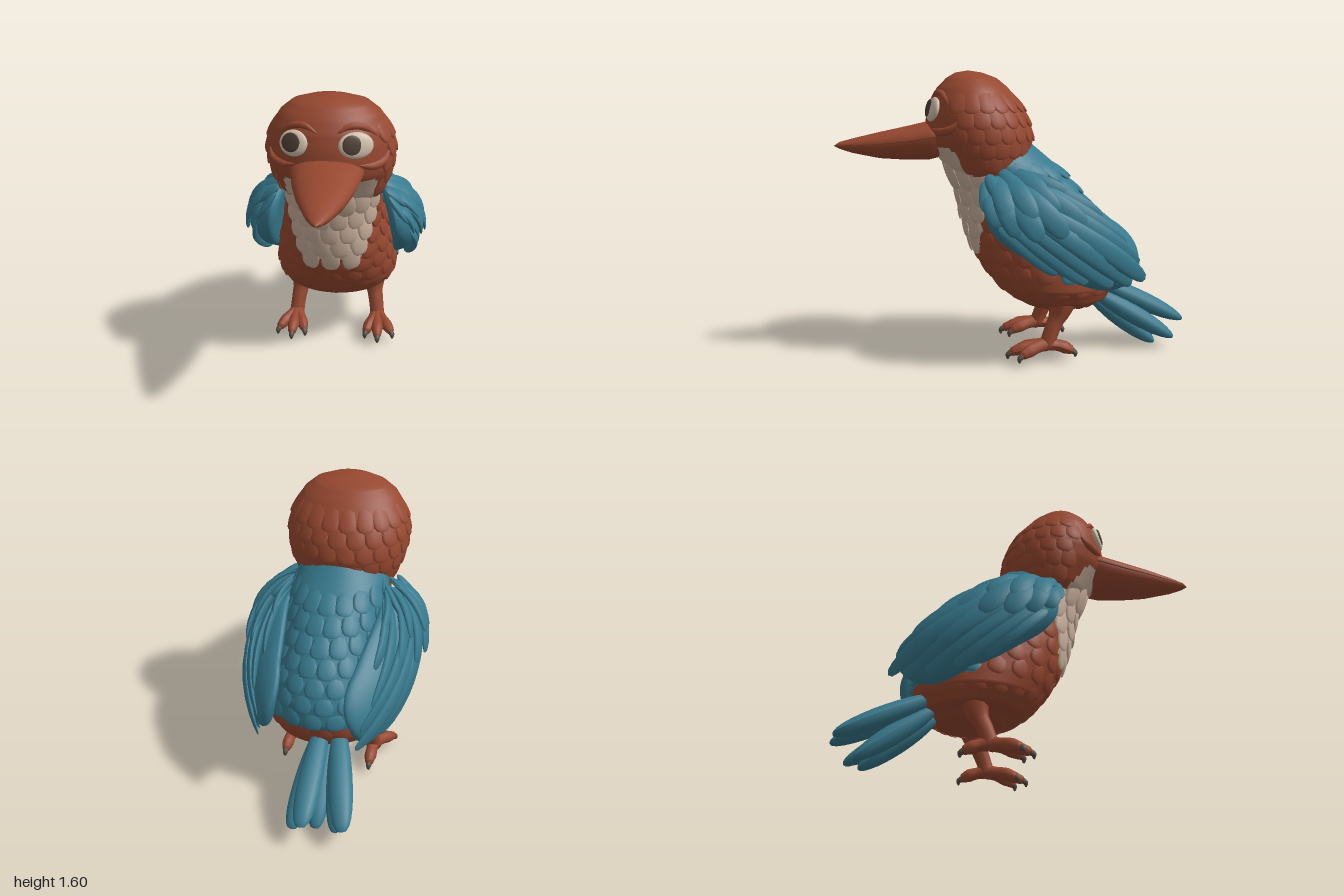
import * as THREE from 'three';
import { mergeGeometries } from 'three/addons/utils/BufferGeometryUtils.js';

const V = (x, y, z) => new THREE.Vector3(x, y, z);
const paint = (name, color) => {
  const m = new THREE.MeshStandardMaterial({ color });
  m.name = name;
  return m;
};

// Horizontal sections: [y, back z, front z, half width]
const BODY = [
  [0.27, -0.281, -0.28, 0.001], [0.285, -0.44, -0.1, 0.16], [0.34, -0.53, 0.02, 0.3], [0.42, -0.57, 0.11, 0.35],
  [0.5, -0.59, 0.17, 0.35], [0.6, -0.58, 0.23, 0.34], [0.7, -0.54, 0.27, 0.32], [0.8, -0.48, 0.3, 0.29],
  [0.9, -0.4, 0.315, 0.275], [1.0, -0.32, 0.34, 0.265], [1.05, -0.27, 0.365, 0.265], [1.1, -0.22, 0.4, 0.26],
  [1.16, -0.15, 0.45, 0.24], [1.22, -0.08, 0.48, 0.19], [1.25, 0, 0.3, 0.02]];
const HEAD = [
  [1.0, 0.1, 0.25, 0.02], [1.03, 0, 0.32, 0.24], [1.08, -0.03, 0.375, 0.28], [1.15, -0.08, 0.43, 0.305],
  [1.22, -0.1, 0.485, 0.325], [1.3, -0.09, 0.5, 0.338], [1.38, -0.06, 0.49, 0.328], [1.45, -0.02, 0.47, 0.305],
  [1.52, 0.04, 0.43, 0.26], [1.57, 0.1, 0.38, 0.2], [1.6, 0.18, 0.33, 0.11], [1.612, 0.259, 0.26, 0.001]];
// Beak sections: [z, seam y, half width, height above seam, depth below seam]
const BEAK = [
  [0.34, 1.27, 0.01, 0.01, 0.01], [0.36, 1.27, 0.2, 0.08, 0.12], [0.48, 1.25, 0.183, 0.085, 0.13],
  [0.6, 1.23, 0.16, 0.077, 0.11], [0.75, 1.215, 0.12, 0.06, 0.085], [0.9, 1.205, 0.065, 0.035, 0.045],
  [0.97, 1.203, 0.032, 0.018, 0.02], [1.0, 1.2, 0.001, 0.001, 0.001]];

// Interpolates a table by its first column
function sample(table, key) {
  let i = 0;
  while (i < table.length - 2 && key > table[i + 1][0]) i++;
  const [a, b] = [table[i], table[i + 1]];
  const f = THREE.MathUtils.clamp((key - a[0]) / (b[0] - a[0]), 0, 1);
  return a.map((v, k) => v + (b[k] - v) * f);
}
function surf(table, y, ang) {
  const [yy, zb, zf, w] = sample(table, y);
  return V(w * Math.sin(ang), yy, (zb + zf) / 2 + (zf - zb) / 2 * Math.cos(ang));
}
function normalAt(table, y, ang) {
  const du = surf(table, y, ang + 0.02).sub(surf(table, y, ang - 0.02));
  const dv = surf(table, y + 0.02, ang).sub(surf(table, y - 0.02, ang));
  return du.cross(dv).normalize();
}

// Skin over rings; pick() chooses the material index of each quad
function loft(rings, pick = () => 0) {
  const n = rings[0].length, parts = [];
  rings.slice(0, -1).forEach((ring, i) => ring.forEach((p, j) => {
    const a = i * n + j, b = i * n + (j + 1) % n;
    (parts[pick(p)] ??= []).push(a, b, a + n, b, b + n, a + n);
  }));
  const g = new THREE.BufferGeometry().setFromPoints(rings.flat());
  g.setIndex(parts.flat());
  let start = 0;
  parts.forEach((list, m) => { g.addGroup(start, list.length, m); start += list.length; });
  g.computeVertexNormals();
  return g;
}
const angles = n => Array.from({ length: n }, (_, j) => j / n * Math.PI * 2);
function bodyLoft(table, pick) {
  const lo = table[0][0], hi = table.at(-1)[0], keys = table.map(r => r[0]);
  for (let y = lo; y < hi; y += 0.02) if (keys.every(k => Math.abs(k - y) > 0.006)) keys.push(y);
  return loft(keys.sort((a, b) => a - b).map(y => angles(80).map(a => surf(table, y, a))), pick);
}

// One blade from a to b, facing n; w and t are half width and half thickness, bow arches it
function feather(a, b, n, w, t = 0.014, seg = 8, bow = 0) {
  const g = new THREE.SphereGeometry(1, seg, seg), p = g.attributes.position;
  const Y = b.clone().sub(a), half = Y.length() / 2;
  for (let i = 0; i < p.count; i++) {
    const y = p.getY(i), k = Math.pow(Math.max(1 - y * y, 0.02), -0.15);
    p.setXYZ(i, p.getX(i) * k * (0.93 + 0.12 * y) * w, y * half, p.getZ(i) * t + bow * (1 - y * y));
  }
  Y.normalize();
  const X = Y.clone().cross(n).normalize(), Z = X.clone().cross(Y);
  g.computeVertexNormals();
  return g.applyMatrix4(new THREE.Matrix4().makeBasis(X, Y, Z).setPosition(a.clone().add(b).multiplyScalar(0.5)));
}

// Tapered tube with closed ends
function limb(points, radii) {
  const curve = new THREE.CatmullRomCurve3(points), seg = 14, rad = 10;
  const g = new THREE.TubeGeometry(curve, seg, 1, rad), p = g.attributes.position;
  for (let i = 0; i < p.count; i++) {
    const u = Math.floor(i / (rad + 1)) / seg, f = u * (radii.length - 1), k = Math.min(Math.floor(f), radii.length - 2);
    const c = curve.getPointAt(u), r = radii[k] + (radii[k + 1] - radii[k]) * (f - k);
    const d = V().fromBufferAttribute(p, i).sub(c).multiplyScalar(u === 0 || u === 1 ? r * 0.02 : r).add(c);
    p.setXYZ(i, d.x, d.y, d.z);
  }
  g.computeVertexNormals();
  return g;
}

// Wing shape: t runs shoulder to tip, s runs across (up is positive)
const WING_X = [[0, 0.33], [0.1, 0.365], [0.3, 0.39], [0.65, 0.34], [0.87, 0.275], [1, 0.24]];
const WING_T = 0.085;
const wingX = (t, s) => sample(WING_X, t)[1] - 0.27 * s - 1.7 * s * s;
function wingPoint(side, z, y, out) {
  const dz = z - 0.17, dy = y - 0.95, s = dz * -0.475 + dy * 0.88;
  const t = (dz * -0.88 + dy * -0.475) / 0.989;
  const dome = WING_T * Math.sqrt(Math.max(0, 1 - ((t - 0.47) / 0.47) ** 4 - (s / 0.2) ** 2));
  return V(side * (wingX(t, s) + dome + out), y, z);
}
function wingFeather(side, [z0, y0, z1, y1, w, lift]) {
  const a = wingPoint(side, z0, y0, 0), b = wingPoint(side, z1, y1, lift);
  const mid = wingPoint(side, (z0 + z1) / 2, (y0 + y1) / 2, lift * 0.6);
  const bow = Math.max(0, side * (mid.x - (a.x + b.x) / 2));
  return feather(a, b, V(side, 0.25, 0), w, 0.02, 12, bow);
}

export function createModel() {
  const rust = paint('rust', 0x964830), teal = paint('teal', 0x387a8e), cream = paint('cream', 0xc8af9b);
  const dark = paint('dark brown', 0x4c3d32), eyeWhite = paint('eye white', 0xd0bfab), horn = paint('claw grey', 0x5a4a42);
  const skins = [rust, teal, cream];
  const model = new THREE.Group();
  const add = (name, geo, mat, parent = model) => {
    const m = new THREE.Mesh(geo, mat);
    m.name = name;
    parent.add(m);
    return m;
  };

  // Body and head, with coloured back and bib
  const bodyColour = p => {
    const [, zb, zf] = sample(BODY, p.y), c = (p.z - (zb + zf) / 2) / (zf - zb) * 2;
    if (c > 0.15 && p.y > 0.66 && Math.abs(p.x) < 0.17 + 0.16 * (p.y - 0.62)) return 2;
    return c < (p.y > 0.95 ? 0.15 : -0.12) && p.y > 0.47 ? 1 : 0;
  };
  const headColour = p => p.z > 0.25 && p.y < 1.19 && Math.abs(p.x) < 0.235 ? 2 : 0;
  add('body', bodyLoft(BODY, bodyColour), skins);
  add('head', bodyLoft(HEAD, headColour), skins);

  // Overlapping plumage rows
  const plumage = [[], [], []];
  const scale = (table, y, ang, len, w, lift, colour) => {
    const n = normalAt(table, y - len / 2, ang);
    const a = surf(table, y, ang).addScaledVector(n, -0.012), b = surf(table, y - len, ang).addScaledVector(n, lift);
    plumage[colour].push(feather(a, b, n, w));
  };
  for (let r = 0; r < 9; r++) for (let k = 0; k < 18; k++) {
    const y = 0.4 + r * 0.09, ang = (k + (r % 2) / 2) / 18 * Math.PI * 2;
    const colour = bodyColour(surf(BODY, y - 0.04, ang));
    scale(BODY, y, ang, colour === 2 ? 0.155 : 0.11, 0.056, colour ? 0.012 : 0.004, colour);
  }
  for (let r = 0; r < 5; r++) for (let k = 0; k < 13; k++) {
    const y = 1.2 + r * 0.08, ang = 1.15 + (k + (r % 2) / 2) / 13 * (Math.PI * 2 - 2.3);
    scale(HEAD, y, ang, 0.14, 0.055, 0.009, 0);
  }
  ['rustPlumage', 'backPlumage', 'bibPlumage'].forEach((n, i) => add(n, mergeGeometries(plumage[i]), skins[i]));

  // Beak halves meeting at a seam
  const beakHalf = (wide, up, down) => loft(BEAK.map(r => angles(32).map(a => V(-Math.sin(a) * r[2] * wide,
    r[1] + Math.cos(a) * (Math.cos(a) > 0 ? r[3] * up : r[4] * down), r[0]))));
  add('upperBeak', beakHalf(1, 1, 0.12), rust);
  add('lowerBeak', beakHalf(0.95, 0.2, 1), rust);

  for (const side of [1, -1]) {
    const tag = side > 0 ? 'left' : 'right';

    // Eye, brow and cheek fold; the gaze drifts slightly to one side
    const eye = new THREE.Group(), eyeAng = side > 0 ? 0.47 : -0.55;
    eye.name = tag + 'Eye';
    eye.position.copy(surf(HEAD, 1.403, eyeAng));
    eye.lookAt(normalAt(HEAD, 1.403, eyeAng).lerp(V(0, 0.2, 1), 0.3).add(eye.position));
    model.add(eye);
    const ball = new THREE.SphereGeometry(1, 24, 16);
    add('eyeball', ball.clone().scale(side > 0 ? 0.09 : 0.078, 0.067, 0.024), eyeWhite, eye);
    add('iris', ball.clone().scale(0.049, 0.049, 0.008).translate(side > 0 ? -0.024 : -0.008, 0.003, 0.02), dark, eye);
    const ridge = (pts, r) => limb(pts.map(([a, y]) => surf(HEAD, y, side * a)), [0.004, r, r, 0.004]);
    add(tag + 'Brow', ridge([[0.16, 1.46], [0.4, 1.49], [0.65, 1.485], [0.95, 1.43]], 0.018), rust);
    add(tag + 'CheekFold', ridge([[0.5, 1.3], [0.75, 1.285], [1.0, 1.3], [1.2, 1.35]], 0.022), rust);

    // Wing core
    const core = new THREE.SphereGeometry(1, 28, 20), p = core.attributes.position;
    for (let i = 0; i < p.count; i++) {
      const blunt = Math.sign(p.getX(i)) * Math.sqrt(Math.abs(p.getX(i)));
      const t = 0.47 + 0.47 * blunt, s = 0.2 * p.getY(i), d = t * 0.989;
      p.setXYZ(i, side * wingX(t, s) + WING_T * p.getZ(i), 0.95 - 0.475 * d + 0.88 * s, 0.17 - 0.88 * d - 0.475 * s);
    }
    core.computeVertexNormals();
    add(tag + 'WingCore', core, teal);

    // Wing feathers: [root z, root y, tip z, tip y, half width, lift]
    const blades = [
      [0.12, 0.8, -0.2, 0.545, 0.06, 0.006], [0.08, 0.82, -0.36, 0.485, 0.06, 0.01], [0.04, 0.85, -0.5, 0.455, 0.06, 0.014],
      [0, 0.88, -0.62, 0.45, 0.06, 0.018], [-0.04, 0.92, -0.7, 0.47, 0.06, 0.02], [-0.08, 0.96, -0.66, 0.56, 0.06, 0.02],
      [-0.1, 1.0, -0.58, 0.67, 0.055, 0.02],
      [0.17, 0.98, 0.13, 0.8, 0.055, 0.025], [0.13, 0.99, 0.03, 0.755, 0.06, 0.03], [0.08, 1.0, -0.09, 0.735, 0.065, 0.032],
      [0.03, 1.01, -0.23, 0.75, 0.065, 0.032], [-0.03, 1.02, -0.36, 0.78, 0.06, 0.03], [-0.08, 1.03, -0.45, 0.82, 0.05, 0.025],
      [0.18, 1.03, 0.17, 0.87, 0.05, 0.03], [0.13, 1.05, 0.07, 0.85, 0.06, 0.035], [0.08, 1.06, -0.06, 0.85, 0.06, 0.04],
      [0.03, 1.065, -0.19, 0.88, 0.06, 0.038], [-0.02, 1.06, -0.3, 0.92, 0.05, 0.032],
      [0.17, 1.06, 0.11, 0.95, 0.045, 0.032], [0.1, 1.08, 0, 0.96, 0.045, 0.038], [0.02, 1.08, -0.13, 0.98, 0.045, 0.036]];
    add(tag + 'WingFeathers', mergeGeometries(blades.map(b => wingFeather(side, b))), teal);

    // Leg, toes and claws
    const ankle = V(side * 0.245, 0.115, -0.16);
    add(tag + 'Leg', limb([V(side * 0.21, 0.42, -0.26), V(side * 0.22, 0.29, -0.23), V(side * 0.235, 0.2, -0.19), ankle,
      V(side * 0.245, 0.07, -0.15)], [0.09, 0.075, 0.046, 0.042, 0.045]), rust);
    for (const [x, z] of [[0.185, 0.0], [0.255, 0.045], [0.335, -0.01], [0.25, -0.3]]) {
      const tip = V(side * x, 0.075, z), dir = tip.clone().sub(ankle).setY(0).normalize();
      const mid = ankle.clone().lerp(tip, 0.55).setY(0.1);
      add(tag + 'Toe', limb([ankle, mid, tip, tip.clone().addScaledVector(dir, 0.01)], [0.04, 0.032, 0.035, 0.02]), rust);
      add(tag + 'Claw', limb([tip.clone().addScaledVector(dir, -0.005), tip.clone().addScaledVector(dir, 0.014).setY(0.06),
        tip.clone().addScaledVector(dir, 0.016).setY(0.035)], [0.018, 0.015, 0.004]), horn);
    }
  }

  // Tail fan: [root x, root y, tip x, tip y, tip z, half width]
  const tail = [[-0.11, 0.42, -0.26, 0.14, -0.96, 0.07], [-0.1, 0.36, -0.2, 0.03, -0.86, 0.06],
    [-0.06, 0.32, -0.08, 0.015, -0.84, 0.06], [0, 0.36, 0.02, 0.07, -0.93, 0.065], [-0.02, 0.43, -0.05, 0.16, -1.0, 0.07]];
  add('tailFeathers', mergeGeometries(tail.map(([x0, y0, x1, y1, z1, w]) =>
    feather(V(x0, y0, -0.44), V(x1, y1, z1), V(0, 0.8, -0.6), w, 0.055, 14))), teal);

  return model;
}
